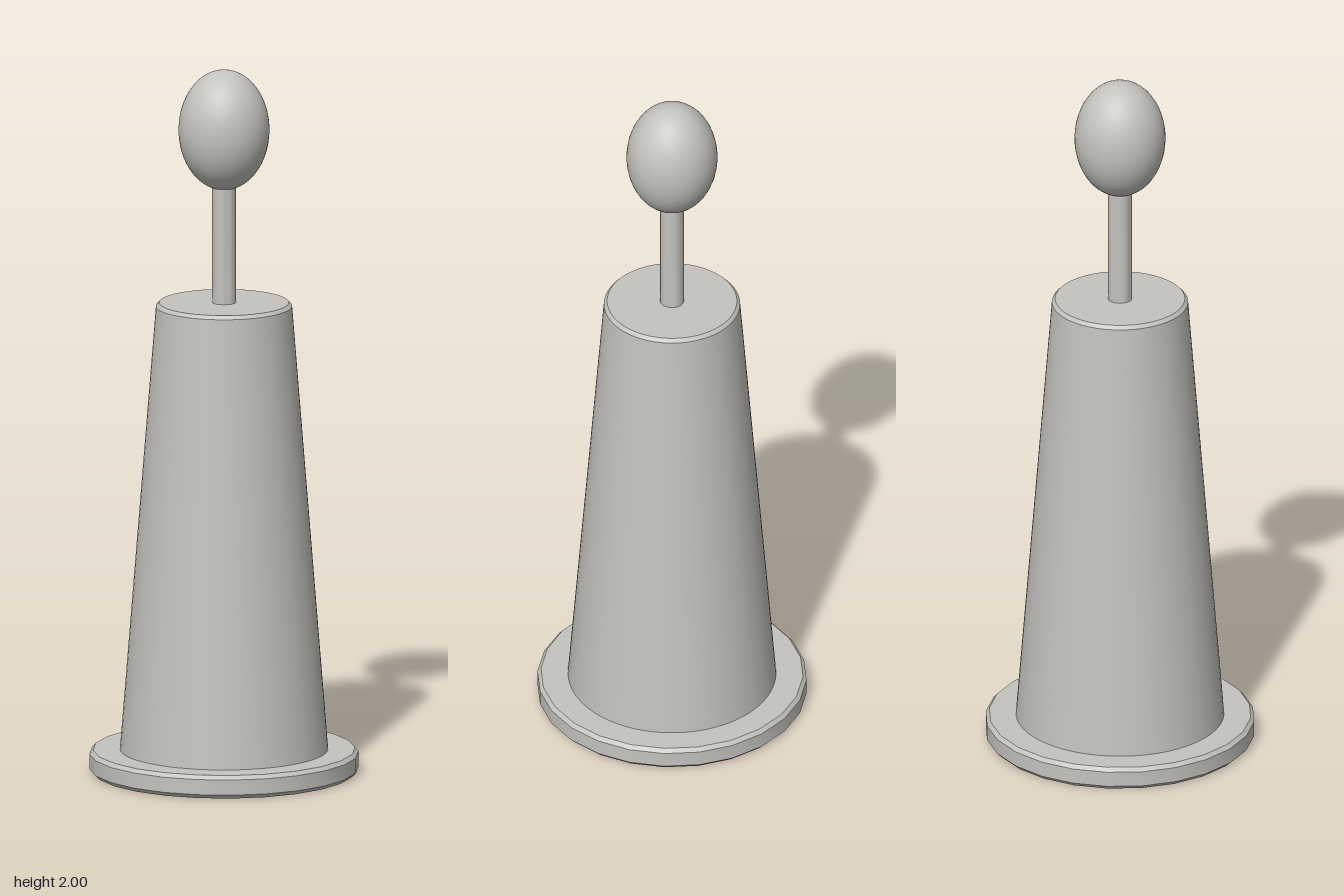
import * as THREE from 'three';
import { toCreasedNormals } from 'three/addons/utils/BufferGeometryUtils.js';

export function createModel() {
  const model = new THREE.Group();
  model.name = 'taperedStand';
  const grey = new THREE.MeshStandardMaterial({ color: 0xc4c3be });
  grey.name = 'warm grey';

  const add = (name, geometry) => {
    const mesh = new THREE.Mesh(geometry, grey);
    mesh.name = name;
    model.add(mesh);
    return mesh;
  };

  // Turned part from [radius, height] points, bottom to top, with crisp edges
  const turned = (name, profile, segments) => {
    const points = profile.map(([r, y]) => new THREE.Vector2(r, y));
    return add(name, toCreasedNormals(new THREE.LatheGeometry(points, segments), 0.5));
  };

  // Flat foot disc with bevelled rims
  turned('base', [[0, 0], [0.364, 0], [0.376, 0.012], [0.376, 0.055], [0.366, 0.066], [0, 0.066]], 24);

  // Tall tapered body with a small bevel at the top
  turned('body', [[0, 0.06], [0.291, 0.06], [0.19, 1.328], [0.181, 1.338], [0, 1.338]], 64);

  // Thin stem carrying the knob
  turned('stem', [[0, 1.33], [0.033, 1.33], [0.033, 1.69], [0, 1.69]], 32);

  // Egg-shaped knob
  const knob = add('knob', new THREE.SphereGeometry(1, 48, 32));
  knob.scale.set(0.127, 0.17, 0.127);
  knob.position.y = 1.83;

  return model;
}
